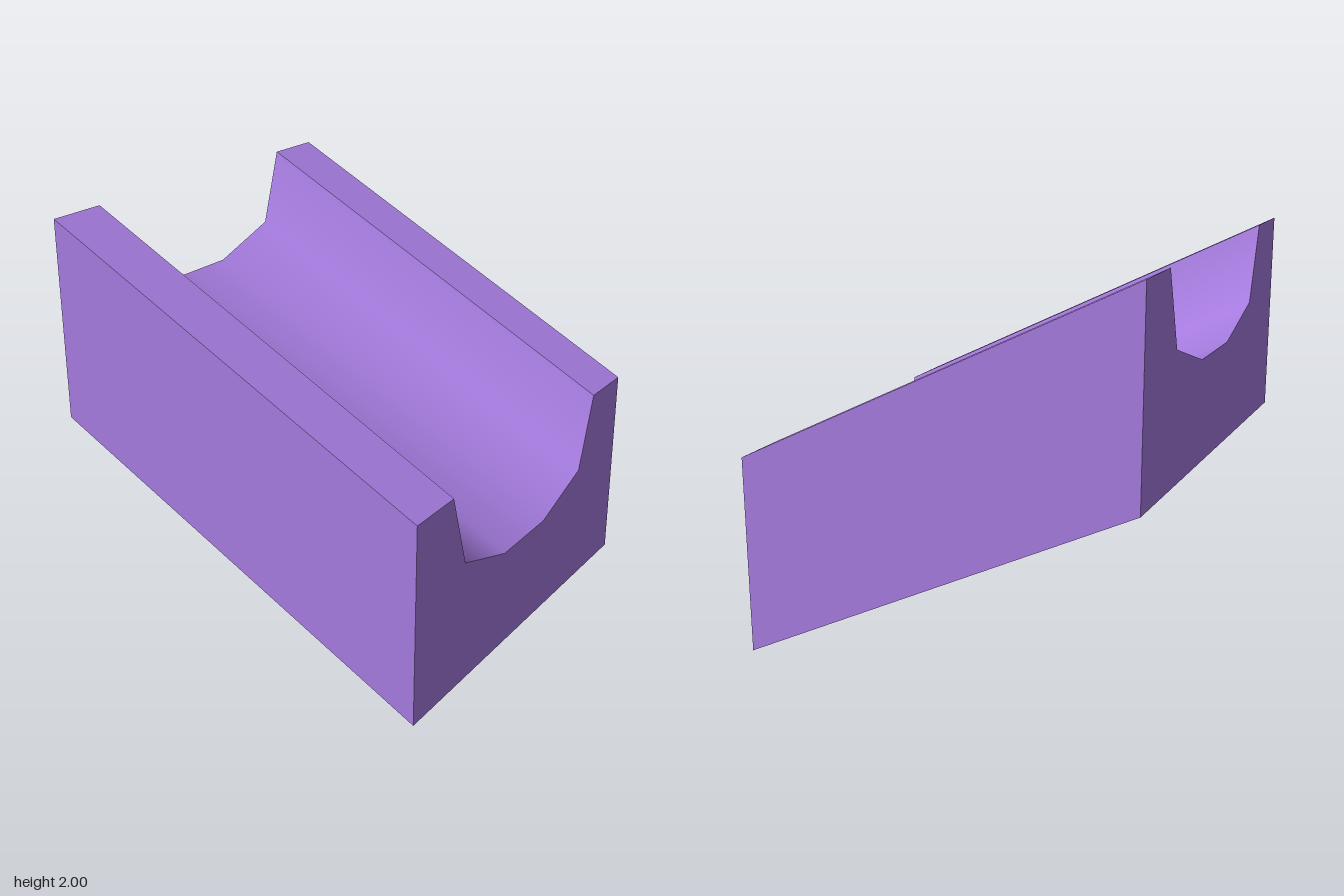
import * as THREE from 'three';
import { toCreasedNormals } from 'three/addons/utils/BufferGeometryUtils.js';

export function createModel() {
  const group = new THREE.Group();
  group.name = 'slopedChannel';
  const purple = new THREE.MeshStandardMaterial({ color: 0xa57bde });
  purple.name = 'purple';

  // Cross-section: a block with a faceted trough in its top
  const trough = [[0.7, 1], [0.578, 0.626], [0.2, 0.5]];
  const mirrored = trough.map(([x, y]) => [-x, y]).reverse();
  const outline = [[-1, 0], [1, 0], [1, 1], ...trough, ...mirrored, [-1, 1]];
  const shape = new THREE.Shape(outline.map(([x, y]) => new THREE.Vector2(x, y)));

  // Run the section along x
  const geometry = new THREE.ExtrudeGeometry(shape, { depth: 2, bevelEnabled: false, steps: 1 });
  geometry.translate(0, 0, -1).rotateY(Math.PI / 2);

  // Shear it so the block falls from y = 1 at the right end to y = 0 at the left
  const pos = geometry.attributes.position;
  for (let i = 0; i < pos.count; i++) {
    pos.setY(i, pos.getY(i) + 0.5 * (1 - pos.getX(i)));
  }

  // The trough is smooth, all other edges are sharp
  const ramp = new THREE.Mesh(toCreasedNormals(geometry, Math.PI / 3), purple);
  ramp.name = 'channelRamp';
  group.add(ramp);
  return group;
}
